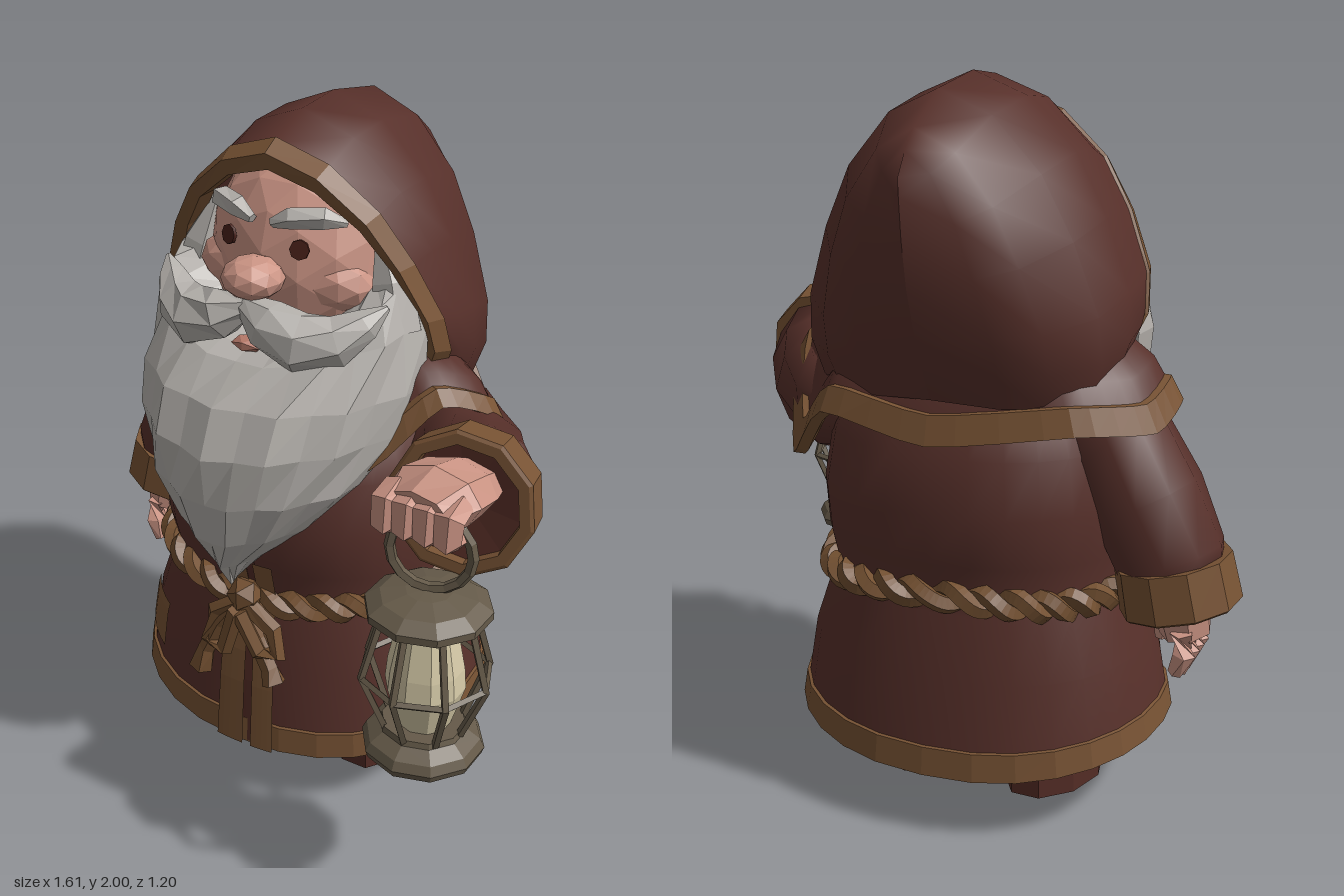
import * as THREE from 'three';

const V = (x, y, z) => new THREE.Vector3(x, y, z);
const material = (name, color) => Object.assign(new THREE.MeshStandardMaterial({ color, side: THREE.DoubleSide }), { name });

// Skin over a list of rings (rings rise, points run from +x to +z)
function loft(rings, closed = true, flat = true) {
  const n = rings[0].length, pos = [], idx = [];
  rings.forEach(r => r.forEach(p => pos.push(p.x, p.y, p.z)));
  for (let j = 0; j < rings.length - 1; j++)
    for (let i = 0; i < (closed ? n : n - 1); i++) {
      const a = j * n + i, b = j * n + (i + 1) % n, c = a + n, d = b + n;
      idx.push(a, c, b, b, c, d);
    }
  let g = new THREE.BufferGeometry();
  g.setAttribute('position', new THREE.Float32BufferAttribute(pos, 3));
  g.setIndex(idx);
  if (flat) g = g.toNonIndexed();
  g.computeVertexNormals();
  return g;
}
const flatten = g => { const f = g.index ? g.toNonIndexed() : g; f.computeVertexNormals(); return f; };

// Ring of n points around c, facing dir
function ring(c, dir, rx, rz, n) {
  const q = new THREE.Quaternion().setFromUnitVectors(V(0, 1, 0), dir.clone().normalize());
  return Array.from({ length: n }, (_, i) => {
    const a = i / n * Math.PI * 2;
    return V(Math.cos(a) * rx, 0, Math.sin(a) * rz).applyQuaternion(q).add(c);
  });
}
// Capped limb through stations [x, y, z, radius]
function limb(st, n = 7, flat = true, squash = 1) {
  const p = st.map(s => V(s[0], s[1], s[2])), last = p.length - 1;
  const rings = p.map((c, i) => ring(c, p[Math.min(i + 1, last)].clone().sub(p[Math.max(i - 1, 0)]), st[i][3], st[i][3] * squash, n));
  const cap = (c, r) => r.map(() => c.clone());
  return loft([cap(p[0], rings[0]), ...rings, cap(p[last], rings[last])], true, flat);
}

// Robe surface: [height, half width, half depth], slightly squared in plan
const profile = [[.2, .53, .435], [.45, .49, .41], [.62, .435, .375], [.67, .425, .365], [.76, .44, .39],
  [.9, .445, .412], [1.05, .42, .385], [1.2, .36, .33], [1.35, .2, .2]];
const soft = v => Math.sign(v) * Math.abs(v) ** .88;
function robePt(a, y, off = 0) {
  let k = 0;
  while (k < profile.length - 2 && y > profile[k + 1][0]) k++;
  const [p, q] = [profile[k], profile[k + 1]], t = (y - p[0]) / (q[0] - p[0]);
  const hx = p[1] + (q[1] - p[1]) * t + off, hz = p[2] + (q[2] - p[2]) * t + off;
  const wave = Math.max(0, (.6 - y) / .4) * (.06 * Math.cos(a) ** 2 - .02);
  return V(-.05 + hx * soft(Math.cos(a)), y + wave, -.095 + hz * soft(Math.sin(a)));
}
const robeRing = (y, off = 0, n = 28) => Array.from({ length: n }, (_, i) => robePt(i / n * Math.PI * 2, y, off));
const robePatch = (a0, a1, y0, y1, off) => loft(Array.from({ length: 7 }, (_, j) =>
  Array.from({ length: 5 }, (_, i) => robePt(a0 + (a1 - a0) * i / 4, y0 + (y1 - y0) * j / 6, off))), false);

export function createModel() {
  const root = new THREE.Group();
  root.name = 'hoodedFigure';
  const cloth = material('brownCloth', 0x57302a), leather = material('darkLeather', 0x532c25),
    trim = material('tanTrim', 0x785334), ropeMat = material('rope', 0x735031), hair = material('greyHair', 0xb5b1ac),
    skin = material('skin', 0xcb9484), lip = material('lip', 0xb87a6a), eyeMat = material('eye', 0x4a211a),
    metal = material('lanternMetal', 0x655a49), glass = material('lanternGlass', 0xd6caa8);
  const add = (name, geo, mat, parent = root) => {
    const m = new THREE.Mesh(geo, mat);
    m.name = name;
    parent.add(m);
    return m;
  };

  // Robe, hem, front edges and pocket
  add('robe', loft([.26, ...profile.slice(1).map(p => p[0])].map(y => robeRing(y)), true, false), cloth);
  add('hemTrim', loft([robeRing(.26, -.075), robeRing(.205, -.05), robeRing(.195, .008), robeRing(.27, .008), robeRing(.275, -.01)]), trim);
  add('robeLining', loft([robeRing(.26, -.075), robeRing(.3, -.11), robeRing(.32, -.36)]), leather);
  add('frontEdgeLeft', robePatch(1.38, 1.5, .19, .78, .014), trim);
  add('frontEdgeRight', robePatch(1.54, 1.66, .19, .78, .014), trim);
  add('frontGap', robePatch(1.49, 1.55, .2, .78, .006), leather);
  add('pocket', robePatch(2.2, 2.6, .33, .48, .009), trim);

  // Twisted rope belt with bow
  for (let s = 0; s < 2; s++) {
    const pts = Array.from({ length: 160 }, (_, i) => {
      const a = i / 160 * Math.PI * 2, f = a * 16 + s * Math.PI;
      const p = robePt(a, .66, .003 + .02 * Math.cos(f));
      p.y += .022 * Math.sin(f) + .012 * Math.sin(3 * a);
      return p;
    });
    add('ropeBelt', flatten(new THREE.TubeGeometry(new THREE.CatmullRomCurve3(pts, true), 240, .027, 5, true)), ropeMat);
  }
  add('beltKnot', flatten(new THREE.IcosahedronGeometry(.055, 0)), ropeMat).position.set(-.03, .67, .31);
  [[[-.03, .66], [-.1, .56], [-.15, .46], [-.17, .39]], [[-.03, .66], [.02, .55], [.07, .47], [.09, .43]],
    [[-.03, .66], [-.12, .6], [-.14, .5], [-.08, .49], [-.03, .64]], [[-.03, .66], [.08, .6], [.1, .53], [.04, .52], [-.02, .64]]]
    .forEach((c, k) => add('beltBow', limb(c.map(([x, y], i) => [x, y, .325 + i * .008, k < 2 && i === 3 ? .036 : .026]), 5), ropeMat));

  // Boots and legs, turned slightly outward
  for (const s of [-1, 1]) {
    const leg = new THREE.Group();
    leg.name = s > 0 ? 'leftLeg' : 'rightLeg';
    leg.position.set(-.045 + s * .2, 0, -.14);
    leg.rotation.y = s * .28;
    add('trouser', limb([[0, .1, 0, .095], [0, .2, 0, .105], [0, .36, 0, .11]], 8), leather, leg);
    add('bootCuff', limb([[0, .09, 0, .108], [0, .13, 0, .122], [0, .16, 0, .105]], 8), leather, leg);
    if (s < 0) add('bootTrim', limb([[0, .115, 0, .12], [0, .13, 0, .126], [0, .145, 0, .118]], 8), trim, leg);
    const foot = (y, k, toe) => ring(V(0, y, toe), V(0, 1, 0), .12 * k, .18 * k, 9);
    add('boot', loft([foot(0, .01, .06), foot(0, 1, .06), foot(.055, 1, .06), foot(.105, .75, .03), foot(.13, .4, 0)]), leather, leg);
    root.add(leg);
  }

  // Shoulder cape with zigzag trimmed edge
  const edge = new THREE.CatmullRomCurve3([[.53, 1.2, -.1], [.43, 1.28, .06], [.28, 1.1, .17], [0, 1, .26], [-.25, 1, .22],
    [-.45, 1.05, .08], [-.6, 1.17, -.1], [-.585, 1.12, -.27], [-.42, 1.13, -.42], [-.05, 1.08, -.485], [.26, 1.13, -.455], [.4, .975, -.365]]
    .map(p => V(...p)), true, 'catmullrom', .3);
  const capeRing = (t, lift) => Array.from({ length: 48 }, (_, i) => {
    const p = edge.getPoint(i / 48), inner = V(-.05 + (p.x + .05) * .6, 1.36, -.15 + (p.z + .15) * .6);
    const q = p.lerp(inner, t), out = V(q.x + .05, .08, q.z + .15).normalize();
    q.y += .05 * Math.sin(Math.PI * t);
    return q.addScaledVector(out, lift);
  });
  add('cape', loft([capeRing(.1, 0), capeRing(.35, .008), capeRing(.65, 0), capeRing(1, 0)], true, false), cloth);
  add('capeTrim', loft([capeRing(.1, -.03), capeRing(0, -.02), capeRing(0, .012), capeRing(.18, .018), capeRing(.2, -.01)]), trim);

  // Hood as arches running from the face to the back: [topY, topZ, lowY, lowZ, halfWidth]
  const half = [[.92, 0], [1, .13], [.98, .29], [.83, .53], [.64, .74], [.34, .92]];
  const outline = [...half, [0, 1], ...half.map(([u, v]) => [-u, v]).reverse()];
  const arch = ([ty, tz, ly, lz, w]) => outline.map(([u, v]) =>
    V(-.055 + u * w + .02 * v * v, ly + (ty - ly) * v, lz + (tz - lz) * v - .05 * Math.max(0, -.3 - tz) / .3 * Math.sin(v * Math.PI)));
  add('hood', loft([[1.925, .13, 1.31, -.09, .435], [1.985, 0, 1.27, -.14, .445], [2, -.15, 1.24, -.22, .445], [1.965, -.36, 1.2, -.33, .415],
    [1.88, -.5, 1.19, -.41, .31], [1.83, -.55, 1.19, -.45, .19], [1.77, -.59, 1.2, -.47, 0]].map(arch), false, false), cloth);
  add('hoodTrim', loft([[1.87, .1, 1.36, -.1, .38], [1.865, .165, 1.35, -.05, .39], [1.91, .175, 1.32, -.03, .428],
    [1.94, .125, 1.3, -.095, .445], [1.93, .11, 1.3, -.1, .43]].map(arch), false), trim);

  // Head, nose, cheeks, eyes and lip
  const blob = (name, mat, p, s, detail = 1) => {
    const m = add(name, flatten(new THREE.IcosahedronGeometry(1, detail)), mat);
    m.position.set(...p);
    m.scale.set(...s);
    return m;
  };
  blob('head', skin, [-.05, 1.58, -.08], [.29, .32, .265], 2);
  blob('nose', skin, [-.05, 1.59, .215], [.085, .058, .085]);
  for (const s of [-1, 1]) {
    const x = d => -.05 + s * d;
    blob('cheek', skin, [x(.14), 1.56, .055], [.13, .085, .09]);
    const eye = add('eye', new THREE.CylinderGeometry(.027, .027, .009, 8), eyeMat);
    eye.position.set(x(.11), 1.67, .163);
    eye.rotation.set(Math.PI / 2 - .15, 0, -s * .3);
    add('eyebrow', limb([[x(.03), 1.73, .17, .014], [x(.08), 1.75, .16, .03], [x(.16), 1.753, .125, .03], [x(.205), 1.735, .085, .01]], 5), hair);
    // Sideburn beside the face
    add('sideburn', limb([[x(.33), 1.45, .03, .07], [x(.3), 1.58, .015, .06], [x(.26), 1.7, .01, .015]], 6), hair);
    // Moustache half
    add('moustache', limb([[x(-.005), 1.525, .245, .03], [x(.07), 1.49, .255, .068], [x(.16), 1.455, .245, .082],
      [x(.25), 1.465, .2, .068], [x(.31), 1.51, .155, .042], [x(.35), 1.55, .12, .008]], 7), hair);
  }
  blob('lowerLip', lip, [-.045, 1.418, .25], [.05, .022, .035], 0);

  // Beard: rows [y, half width, front z, side rise], ridged into locks
  const rows = [[.71, .012, .34, 0], [.79, .1, .39, 0], [.89, .22, .435, 0], [1.02, .33, .46, 0], [1.16, .395, .455, 0],
    [1.29, .41, .4, .02], [1.38, .395, .3, .09], [1.4, .36, .24, .18], [1.4, .3, .08, .22]];
  add('beard', loft(rows.map(([y, w, zf, rise], j) => Array.from({ length: 15 }, (_, i) => {
    const a = i / 14 * Math.PI, c = Math.cos(a), ridge = 1 + ((i + (j >> 1)) % 2 ? .02 : -.02);
    const zb = j < 4 ? .2 - j * .04 : -.01;
    return V(-.055 + w * c * ridge, y + rise * c * c + (j < 5 ? .035 * Math.abs(c) : 0), zb + (zf - zb) * Math.sin(a) ** .85 * (j < 7 ? ridge : 1));
  })), false), hair);

  // Sleeve, open cuff and lining
  const cuff = (name, c, d, r, h) => {
    const dir = V(...d).normalize(), at = (t, k) => ring(V(...c).addScaledVector(dir, t * h), dir, r * k, r * k, 10);
    add(name, loft([at(-.5, .8), at(-.5, .99), at(.45, 1.03), at(.5, .98), at(.5, .83), at(.1, .8)]), trim);
    add(name + 'Lining', loft([at(.25, .82), at(.1, .01)]), leather);
  };
  add('leftSleeve', limb([[.22, 1.11, -.22, .13], [.36, 1.09, -.16, .155], [.48, 1.085, -.03, .162], [.56, 1.105, .09, .165], [.595, 1.13, .2, .172]], 10, false), cloth);
  cuff('leftCuff', [.6, 1.14, .225], [.17, .15, .97], .19, .115);
  add('rightSleeve', limb([[-.33, 1.16, -.18, .12], [-.46, 1.07, -.18, .15], [-.55, .92, -.19, .156], [-.62, .77, -.195, .15], [-.635, .7, -.195, .13]], 10, false), cloth);
  cuff('rightCuff', [-.64, .7, -.195], [-.2, -.98, .02], .16, .135);

  // Raised hand gripping the lantern ring
  add('leftPalm', limb([[.6, 1.18, .2, .09], [.6, 1.21, .3, .12], [.6, 1.23, .4, .13], [.59, 1.215, .47, .1]], 8, true, .62), skin);
  for (let i = 0; i < 4; i++) {
    const x = .51 + i * .057;
    add('leftFinger', limb([[x, 1.24, .42, .036], [x, 1.225, .475, .04], [x, 1.17, .48, .036], [x, 1.15, .43, .026]], 5), skin);
  }
  add('leftThumb', limb([[.54, 1.21, .3, .045], [.49, 1.19, .38, .042], [.49, 1.16, .46, .026]], 5), skin);

  // Hanging hand
  add('rightPalm', limb([[-.64, .7, -.18, .065], [-.65, .62, -.17, .085], [-.66, .55, -.16, .075]], 7, true, .95), skin);
  for (let i = 0; i < 4; i++) {
    const z = -.235 + i * .045;
    add('rightFinger', limb([[-.67, .575, z, .032], [-.675, .51, z + .01, .032], [-.65, .43 + Math.abs(i - 1.5) * .012, z + .015, .02]], 5), skin);
  }
  add('rightThumb', limb([[-.61, .63, -.12, .036], [-.58, .56, -.1, .034], [-.575, .49, -.1, .018]], 5), skin);

  // Lantern
  const lantern = new THREE.Group();
  lantern.name = 'lantern';
  lantern.position.set(.61, 0, .425);
  root.add(lantern);
  const turned = pts => flatten(new THREE.LatheGeometry(pts.map(p => new THREE.Vector2(...p)), 10));
  add('lanternBase', turned([[0, .5], [.155, .5], [.162, .52], [.15, .545], [.115, .57], [.11, .585], [0, .585]]), metal, lantern);
  add('lanternCap', turned([[0, .9], [.115, .9], [.163, .92], [.163, .94], [.125, .965], [.06, .98], [0, .985]]), metal, lantern);
  add('lanternGlass', turned([[.07, .58], [.105, .7], [.1, .76], [.07, .91]]), glass, lantern);
  const carryRing = add('carryRing', flatten(new THREE.TorusGeometry(.105, .015, 5, 16)), metal, lantern);
  carryRing.position.y = 1.09;
  carryRing.rotation.y = .25;
  const midRing = add('cageRing', flatten(new THREE.TorusGeometry(.168, .01, 4, 8)), metal, lantern);
  midRing.position.y = .735;
  midRing.rotation.x = Math.PI / 2;
  for (let i = 0; i < 8; i++) {
    const a = i / 8 * Math.PI * 2, p = (r, y) => [r * Math.cos(a), y, r * Math.sin(a), .011];
    add('cageBar', limb([p(.105, .575), p(.17, .735), p(.12, .915)], 4), metal, lantern);
  }
  return root;
}
